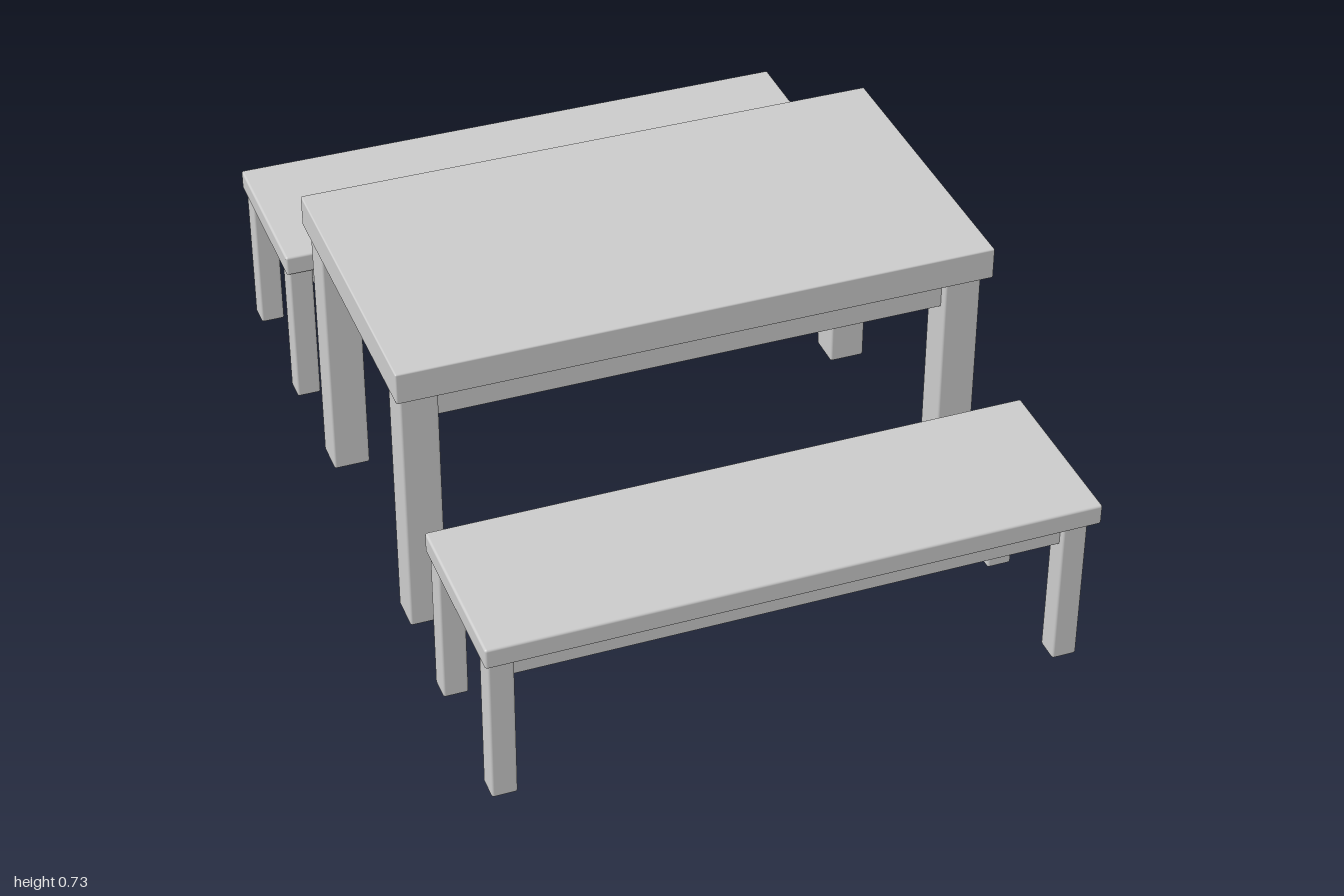
import * as THREE from 'three';
import { RoundedBoxGeometry } from 'three/addons/geometries/RoundedBoxGeometry.js';

const material = new THREE.MeshStandardMaterial({ color: 0xcccccc });

// Softly rounded board between two corners
function board(name, [x0, y0, z0], [x1, y1, z1], radius) {
  const geometry = new RoundedBoxGeometry(x1 - x0, y1 - y0, z1 - z0, 2, radius);
  const mesh = new THREE.Mesh(geometry, material);
  mesh.name = name;
  mesh.position.set((x0 + x1) / 2, (y0 + y1) / 2, (z0 + z1) / 2);
  return mesh;
}

// Slab on four square legs, joined by an apron set in from the leg faces
function trestle(name, o) {
  const group = new THREE.Group();
  group.name = name;
  const { top, under, apronBottom, halfX, z0, z1, legX0, legX1, legZ0, legZ1, leg, inset, thick } = o;

  group.add(board(o.slabName, [-halfX, under, z0], [halfX, top, z1], o.round));

  for (const x of [legX0, legX1 - leg]) {
    for (const z of [legZ0, legZ1 - leg]) {
      group.add(board('leg', [x, 0, z], [x + leg, under, z + leg], 0.006));
    }
  }

  // Long rails
  for (const z of [legZ0 + inset, legZ1 - inset - thick]) {
    group.add(board('longRail', [legX0 + leg / 2, apronBottom, z],
      [legX1 - leg / 2, under, z + thick], 0.002));
  }
  // End rails
  for (const x of [legX0 + inset, legX1 - inset - thick]) {
    group.add(board('endRail', [x, apronBottom, legZ0 + leg / 2],
      [x + thick, under, legZ1 - leg / 2], 0.002));
  }
  return group;
}

export function createModel() {
  const model = new THREE.Group();
  model.name = 'diningSet';

  model.add(trestle('table', {
    slabName: 'tableTop', top: 0.73, under: 0.65, apronBottom: 0.572, halfX: 0.72,
    z0: -0.375, z1: 0.393, legX0: -0.708, legX1: 0.698, legZ0: -0.35, legZ1: 0.375,
    leg: 0.09, inset: 0.02, thick: 0.03, round: 0.004,
  }));

  const bench = {
    slabName: 'seat', top: 0.428, under: 0.376, apronBottom: 0.325, halfX: 0.72,
    legX0: -0.712, legX1: 0.692, leg: 0.06, inset: 0.015, thick: 0.02, round: 0.006,
  };
  model.add(trestle('frontBench', { ...bench, z0: 0.573, z1: 1, legZ0: 0.58, legZ1: 0.99 }));
  model.add(trestle('backBench', { ...bench, z0: -1, z1: -0.573, legZ0: -0.99, legZ1: -0.582 }));

  return model;
}
